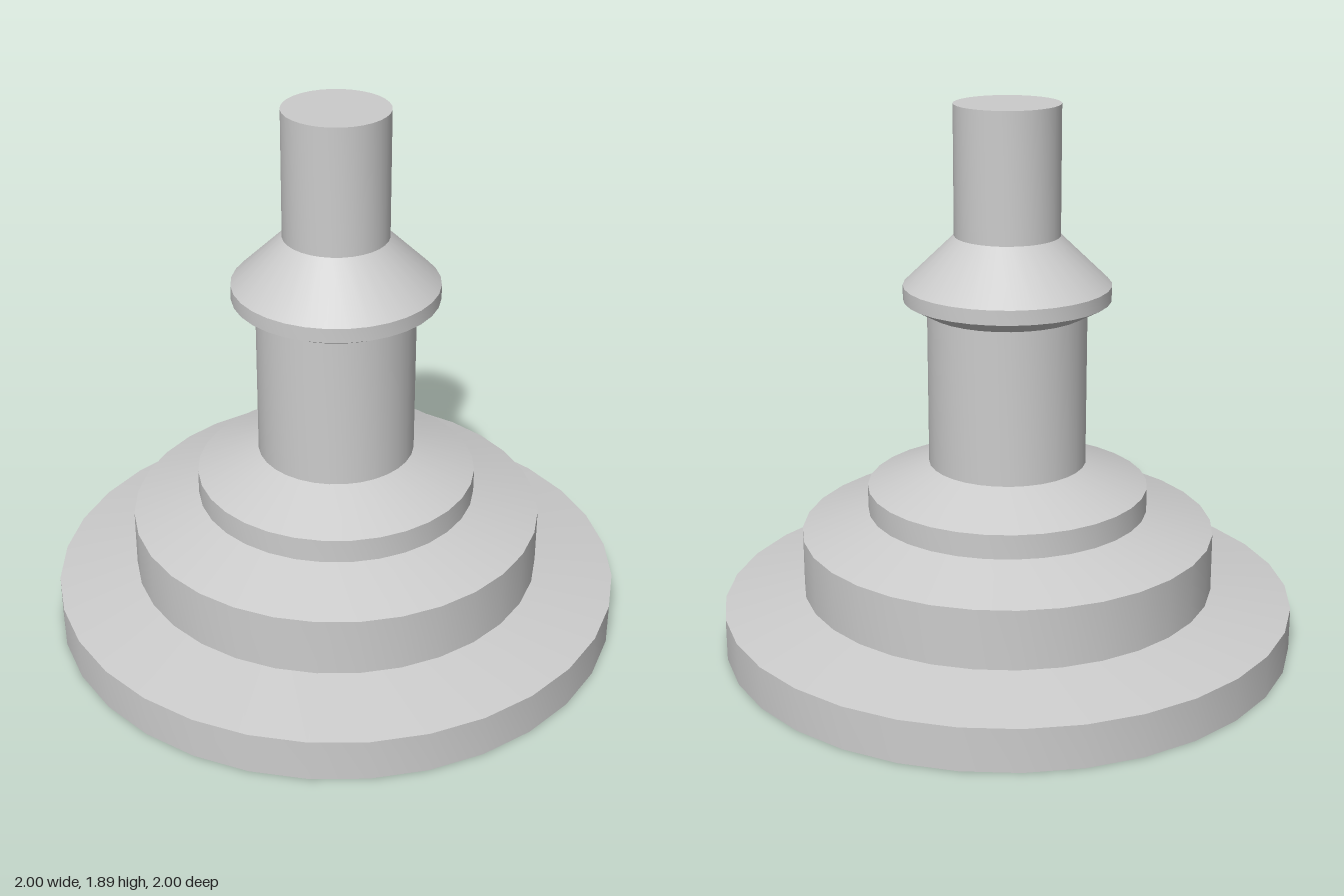
import * as THREE from 'three';
import { toCreasedNormals } from 'three/addons/utils/BufferGeometryUtils.js';

const SIDES = 32;

export function createModel() {
  const model = new THREE.Group();
  model.name = 'steppedPedestal';
  // The body is a thin hollow shell, open at the bottom
  const material = new THREE.MeshStandardMaterial({ color: 0xcccccc, side: THREE.DoubleSide });

  // Turned part from [radius, height] points, bottom to top, with crisp steps
  const turned = (name, profile) => {
    const points = profile.map(([r, y]) => new THREE.Vector2(r, y));
    const geometry = toCreasedNormals(new THREE.LatheGeometry(points, SIDES), Math.PI / 9);
    const mesh = new THREE.Mesh(geometry, material);
    mesh.name = name;
    model.add(mesh);
  };

  // Wide foot with a flat ring underneath and a sloped shoulder
  turned('foot', [[0.78, 0], [1, 0], [1, 0.15], [0.72, 0.203]]);

  // Two shrinking steps
  turned('lowerStep', [[0.72, 0.203], [0.72, 0.41], [0.488, 0.483]]);
  turned('upperStep', [[0.488, 0.483], [0.488, 0.568], [0.273, 0.653]]);

  // Column and its flared collar
  turned('column', [[0.273, 0.653], [0.273, 1.19]]);
  turned('collar', [[0.273, 1.19], [0.354, 1.234], [0.354, 1.284], [0.18, 1.452]]);

  // Narrow closed stem
  turned('stem', [[0.18, 1.452], [0.18, 1.893], [0, 1.893]]);

  return model;
}
